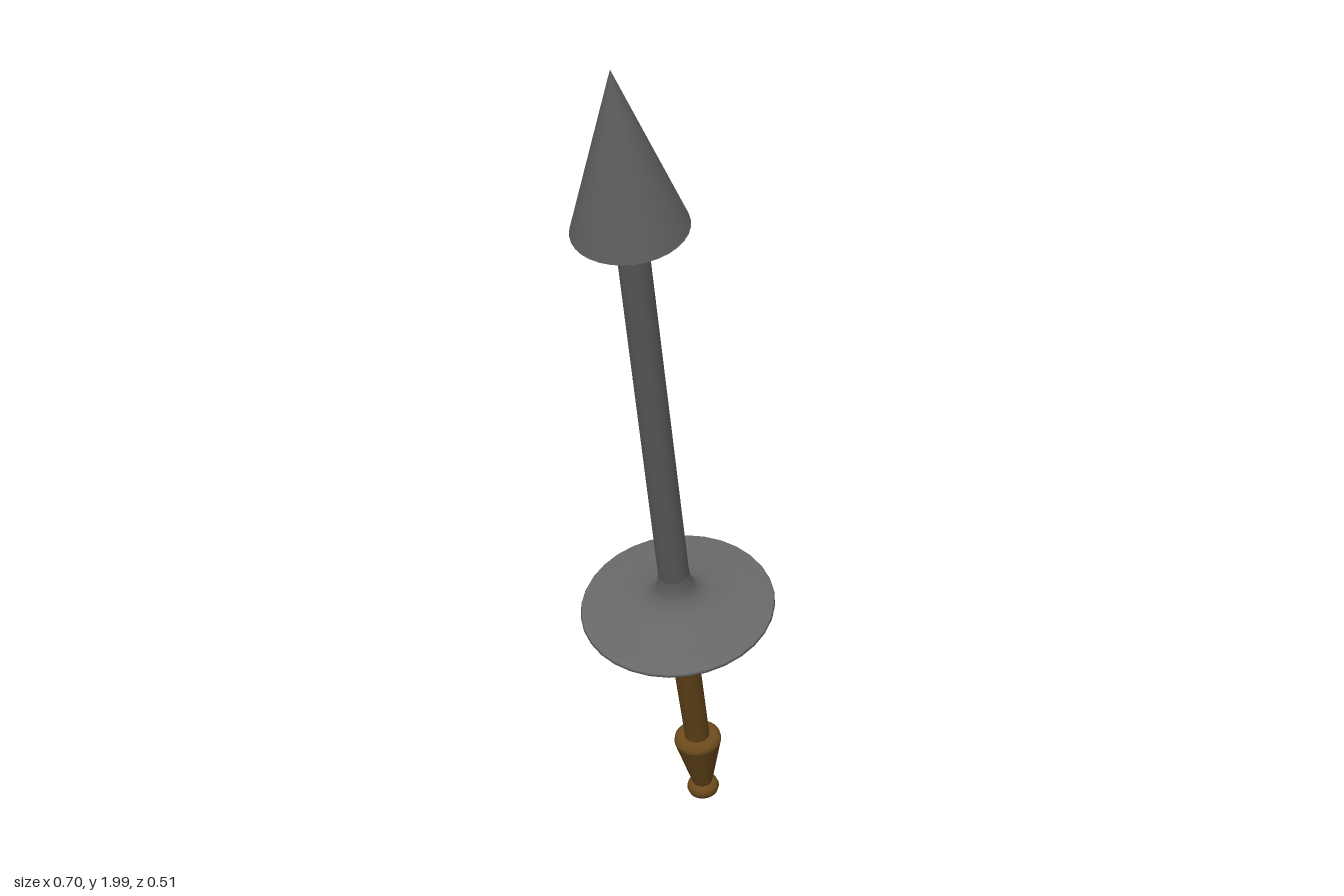
import * as THREE from 'three';

const steel = new THREE.MeshStandardMaterial({ color: 0x666666, side: THREE.DoubleSide });
const wood = new THREE.MeshStandardMaterial({ color: 0x6b4a1c, side: THREE.DoubleSide });

// Key points along the leaning weapon
const guardCentre = new THREE.Vector3(0.115, 0.632, -0.03);
const tip = new THREE.Vector3(-0.352, 2.0, 0.187);
const knobTop = new THREE.Vector3(0.27, 0.19, -0.093);
const knobEnd = new THREE.Vector3(0.311, 0.02, -0.106);

// Turned part; profile is [radius, height] upwards, a repeated point makes a sharp edge
function turned(name, profile, material) {
  const points = profile.map(([r, h]) => new THREE.Vector2(r, h));
  const mesh = new THREE.Mesh(new THREE.LatheGeometry(points, 32), material);
  mesh.name = name;
  return mesh;
}

// Group whose local y axis runs from one point towards another
function alongAxis(name, origin, from, to) {
  const group = new THREE.Group();
  group.name = name;
  group.position.copy(origin);
  const direction = to.clone().sub(from).normalize();
  group.quaternion.setFromUnitVectors(new THREE.Vector3(0, 1, 0), direction);
  return group;
}

export function createModel() {
  const model = new THREE.Group();
  model.name = 'spear';

  // Shaft, conical point and guard share one axis
  const upper = alongAxis('upperSpear', guardCentre, guardCentre, tip);
  const length = tip.distanceTo(guardCentre);
  const headBase = length - 0.372;
  upper.add(
    turned('shaft', [[0.036, 0.02], [0.033, headBase + 0.27]], steel),
    // Hollow cone, open underneath
    turned('pointedHead', [[0.123, headBase], [0.0, length]], steel),
    // Dished disc that sweeps up into the shaft
    turned('guard', [
      [0.03, 0.025], [0.05, 0.018], [0.09, 0.008], [0.15, 0.0], [0.222, -0.006],
      [0.222, -0.006], [0.227, 0], [0.224, 0.006], [0.17, 0.012], [0.115, 0.02],
      [0.075, 0.034], [0.052, 0.052], [0.041, 0.075], [0.036, 0.105],
    ], steel),
  );

  // Handle below the guard
  const handle = alongAxis('handleGroup', knobTop, knobTop, guardCentre);
  const handleLength = guardCentre.distanceTo(knobTop);
  handle.add(turned('handle', [[0.03, -0.02], [0.033, handleLength + 0.03]], wood));

  // Tapered pommel ending in a small button
  const pommel = alongAxis('pommelGroup', knobTop, knobEnd, knobTop);
  pommel.add(
    turned('pommel', [
      [0.024, -0.145], [0.058, -0.004], [0.058, -0.004], [0.056, 0.007], [0.046, 0.013], [0, 0.015],
    ], wood),
    turned('button', [
      [0, -0.182], [0.025, -0.18], [0.036, -0.173], [0.04, -0.161], [0.036, -0.149], [0.024, -0.142], [0, -0.14],
    ], wood),
  );

  model.add(upper, handle, pommel);
  return model;
}
